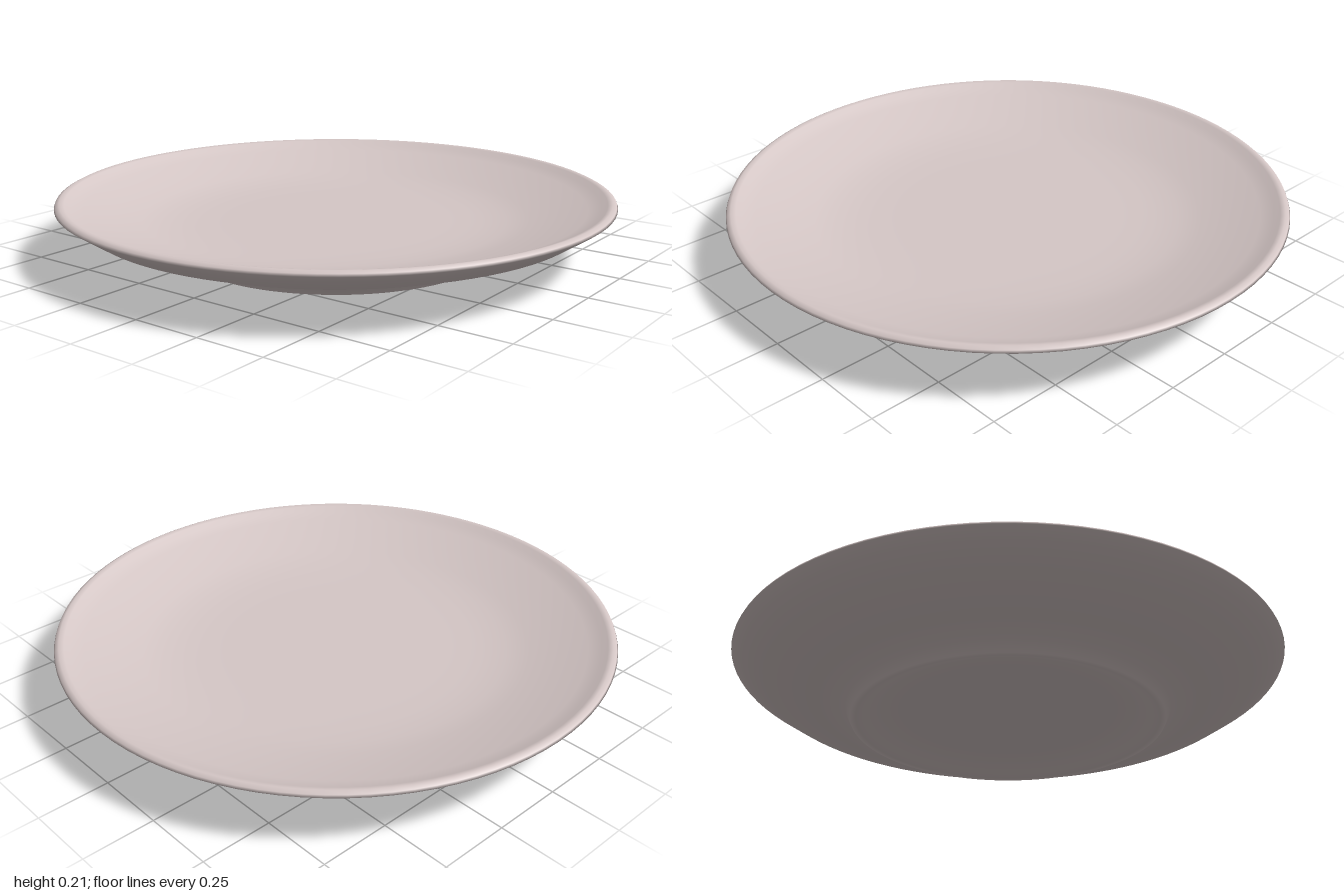
import * as THREE from 'three';

export function createModel() {
  const group = new THREE.Group();
  group.name = 'plate';
  const ceramic = new THREE.MeshStandardMaterial({ color: 0xd5c7c6 });
  ceramic.name = 'pale ceramic';

  // Radius/height profile, running outward underneath and inward on top
  const profile = [
    // recessed underside
    [0, 0.045], [0.4, 0.045], [0.46, 0.04], [0.52, 0.012],
    // foot ring
    [0.55, 0.001], [0.57, 0], [0.59, 0.04],
    // sloping outer wall
    [0.69, 0.06], [0.8, 0.094], [0.9, 0.13], [0.96, 0.17],
    // rounded rim
    [1, 0.197], [0.996, 0.206], [0.982, 0.213], [0.965, 0.209], [0.945, 0.196],
    // shallow dish
    [0.9, 0.18], [0.8, 0.152], [0.7, 0.127], [0.62, 0.113],
    [0.52, 0.106], [0.4, 0.104], [0, 0.104],
  ];
  const points = profile.map(([r, y]) => new THREE.Vector2(r, y));
  const dish = new THREE.Mesh(new THREE.LatheGeometry(points, 96), ceramic);
  dish.name = 'dish';
  group.add(dish);

  return group;
}
